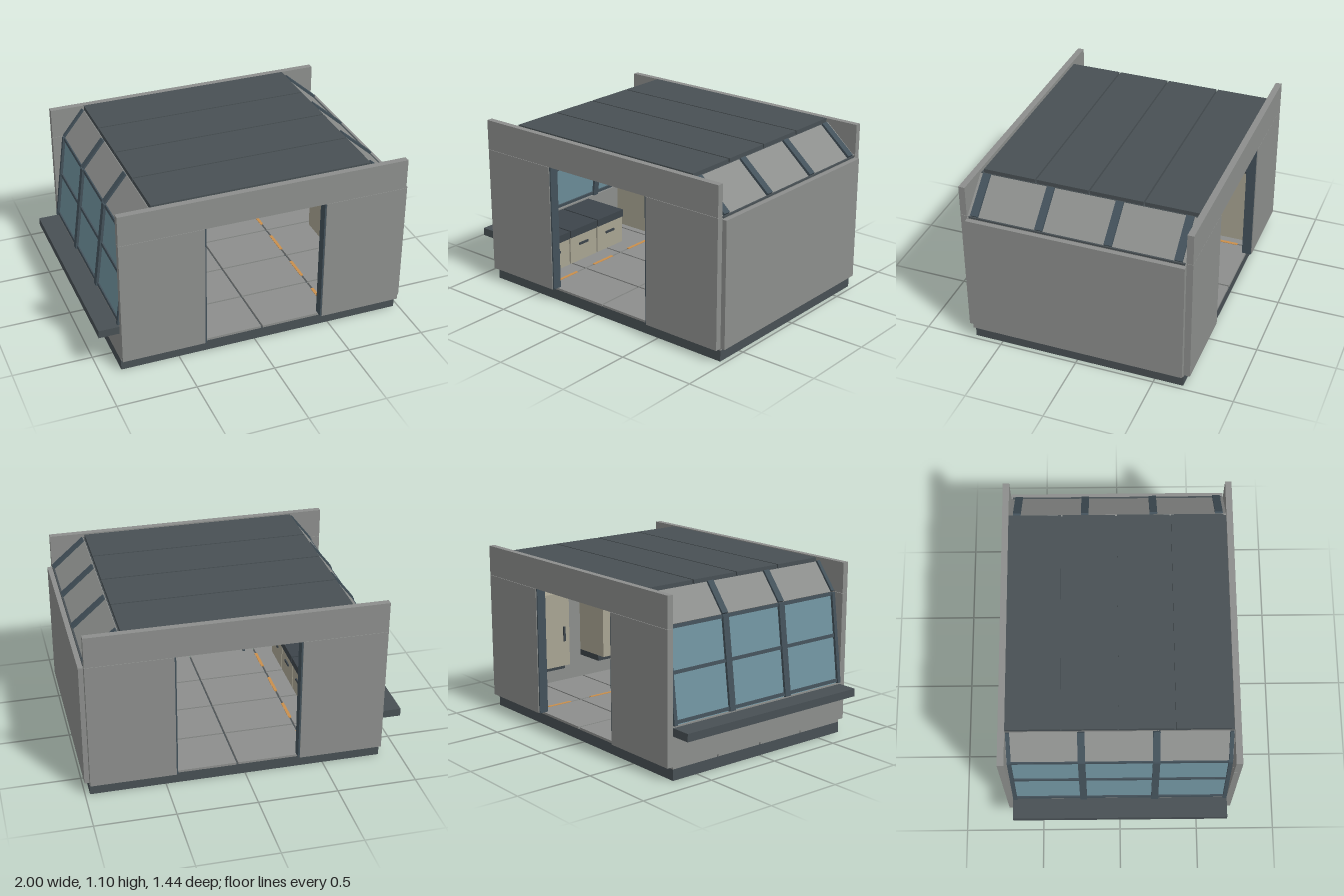
import * as THREE from 'three';

export function createModel() {
  const root = new THREE.Group();
  const mat = (name, color) => {
    const m = new THREE.MeshStandardMaterial({ color });
    m.name = name;
    return m;
  };
  const wall = mat('wall grey', 0x8c8e8c);
  const dark = mat('dark panel', 0x485054);
  const ribMat = mat('rib slate', 0x43515a);
  const glass = mat('blue glass', 0x6f929e);
  const amber = mat('amber light', 0xc98f4c);
  const beige = mat('cabinet beige', 0xa8a492);
  const seatMat = mat('seat charcoal', 0x3c444a);

  // Box given by its limits on each axis
  const box = (name, m, x0, x1, y0, y1, z0, z1, parent = root) => {
    const mesh = new THREE.Mesh(new THREE.BoxGeometry(x1 - x0, y1 - y0, z1 - z0), m);
    mesh.position.set((x0 + x1) / 2, (y0 + y1) / 2, (z0 + z1) / 2);
    mesh.name = name;
    parent.add(mesh);
    return mesh;
  };
  // Sloped slab centred on the line a-b in the xy plane
  const slab = (name, m, a, b, thick, z0, z1) => {
    const dx = b[0] - a[0], dy = b[1] - a[1];
    const mesh = new THREE.Mesh(new THREE.BoxGeometry(Math.hypot(dx, dy), thick, z1 - z0), m);
    mesh.position.set((a[0] + b[0]) / 2, (a[1] + b[1]) / 2, (z0 + z1) / 2);
    mesh.rotation.z = Math.atan2(dy, dx);
    mesh.name = name;
    root.add(mesh);
    return mesh;
  };

  // Base and floor tiles with narrow gaps
  box('base', dark, -0.87, 0.97, 0, 0.07, -0.68, 0.68);
  const g = 0.006;
  for (let i = 0; i < 4; i++) {
    for (let j = 0; j < 4; j++) {
      const x = -0.87 + i * 0.46, z = -0.68 + j * 0.34;
      box('floorTile', wall, x + (i ? g : 0), x + 0.46 - (i < 3 ? g : 0), 0.069, 0.084,
        z + (j ? g : 0), z + 0.34 - (j < 3 ? g : 0));
    }
  }

  // Floor lights along the two outer seams, ceiling lights above them
  for (let j = 0; j < 4; j++) {
    const z = -0.51 + j * 0.34;
    for (const x of [-0.41, 0.51]) {
      box('floorLight', amber, x - 0.01, x + 0.01, 0.08, 0.087, z - 0.09, z + 0.09);
      box('ceilingLight', amber, x - 0.12, x + 0.1, 1.054, 1.062, z - 0.1, z + 0.1);
    }
  }

  // Front and back walls, each with an open doorway
  for (const s of [1, -1]) {
    const end = new THREE.Group();
    end.name = s > 0 ? 'frontWall' : 'backWall';
    root.add(end);
    const [z0, z1] = s > 0 ? [0.68, 0.72] : [-0.72, -0.68];
    box('wallPanel', wall, -0.87, -0.34, 0.084, 0.904, z0, z1, end);
    box('wallPanel', wall, 0.44, 0.97, 0.084, 0.904, z0, z1, end);
    box('header', wall, -0.87, 0.97, 0.906, 1.1, z0, z1, end);
    box('doorLight', amber, -0.33, 0.43, 0.899, 0.906, s * 0.69 - 0.008, s * 0.69 + 0.008, end);
    for (const x of [-0.345, 0.43]) {
      box('doorJamb', ribMat, x, x + 0.015, 0.084, 0.905, s * 0.685 - 0.03, s * 0.685 + 0.03, end);
    }
  }

  // Right side wall and beam on top
  box('rightWall', wall, 0.97, 1.0, 0.084, 0.886, -0.68, 0.68);
  box('rightWallLining', wall, 0.95, 0.97, 0.084, 0.89, -0.68, 0.68);
  box('rightBeam', dark, 0.93, 0.97, 0.886, 0.9, -0.67, 0.67);

  // Flat roof: underside, seam layer and four panels
  box('ceiling', dark, -0.65, 0.75, 1.06, 1.075, -0.68, 0.68);
  for (let j = 0; j < 4; j++) {
    const z = -0.68 + j * 0.338;
    box('roofPanel', dark, -0.65, 0.745, 1.074, 1.1, z, z + 0.328);
  }
  for (const z of [-0.63, -0.21, 0.22, 0.635]) {
    box('ceilingBeam', wall, -0.64, 0.74, 1.02, 1.06, z - 0.018, z + 0.018);
  }

  // Right roof slope with four ribs
  slab('rightSlope', wall, [0.75, 1.07], [0.955, 0.89], 0.02, -0.68, 0.68);
  for (const z of [-0.63, -0.205, 0.225, 0.635]) {
    slab('rightRib', ribMat, [0.752, 1.07], [0.955, 0.895], 0.045, z - 0.024, z + 0.024);
  }

  // Left roof slope, leaning window and lower wall
  const top = [-0.65, 1.07], knee = [-0.785, 0.9], sill = [-0.86, 0.33];
  const along = t => [knee[0] + (sill[0] - knee[0]) * t, knee[1] + (sill[1] - knee[1]) * t];
  slab('leftSlope', wall, top, knee, 0.02, -0.68, 0.68);
  slab('windowGlass', glass, knee, sill, 0.012, -0.67, 0.67);
  for (const t of [0.015, 0.47, 0.97]) {
    slab('windowRail', ribMat, along(t - 0.018), along(t + 0.018), 0.03, -0.67, 0.67);
  }
  for (const z of [-0.665, -0.23, 0.22, 0.665]) {
    const w = Math.abs(z) > 0.5 ? 0.012 : 0.022;
    slab('leftSlopeRib', ribMat, top, knee, 0.045, z - w, z + w);
    slab('windowRib', ribMat, knee, sill, 0.045, z - w, z + w);
  }
  box('leftWall', wall, -0.87, -0.84, 0.084, 0.33, -0.68, 0.68);
  box('outerLedge', dark, -1.0, -0.86, 0.27, 0.32, -0.68, 0.68);

  // Bench under the window: drawers, cushions and backrest
  for (const z of [-0.16, 0.1, 0.36]) {
    box('benchDrawer', beige, -0.84, -0.53, 0.084, 0.27, z + 0.004, z + 0.252);
    box('drawerHandle', seatMat, -0.53, -0.522, 0.195, 0.21, z + 0.09, z + 0.17);
    box('seatCushion', seatMat, -0.84, -0.52, 0.27, 0.32, z + 0.004, z + 0.254);
  }
  box('backrest', seatMat, -0.82, -0.52, 0.32, 0.58, 0.615, 0.67);

  // Tall cabinet in the back corner
  box('tallCabinet', beige, -0.78, -0.47, 0.084, 0.62, -0.67, -0.39);
  box('cabinetTop', seatMat, -0.785, -0.465, 0.62, 0.635, -0.675, -0.385);

  // Cabinets along the right wall
  for (const [z0, z1] of [[-0.64, -0.3], [-0.02, 0.4]]) {
    box('wallCabinet', beige, 0.68, 0.95, 0.28, 0.78, z0, z1);
    box('cabinetHandle', seatMat, 0.672, 0.68, 0.45, 0.55, z1 - 0.05, z1 - 0.035);
    box('cabinetBase', seatMat, 0.74, 0.95, 0.24, 0.28, z0, z1);
  }
  return root;
}
